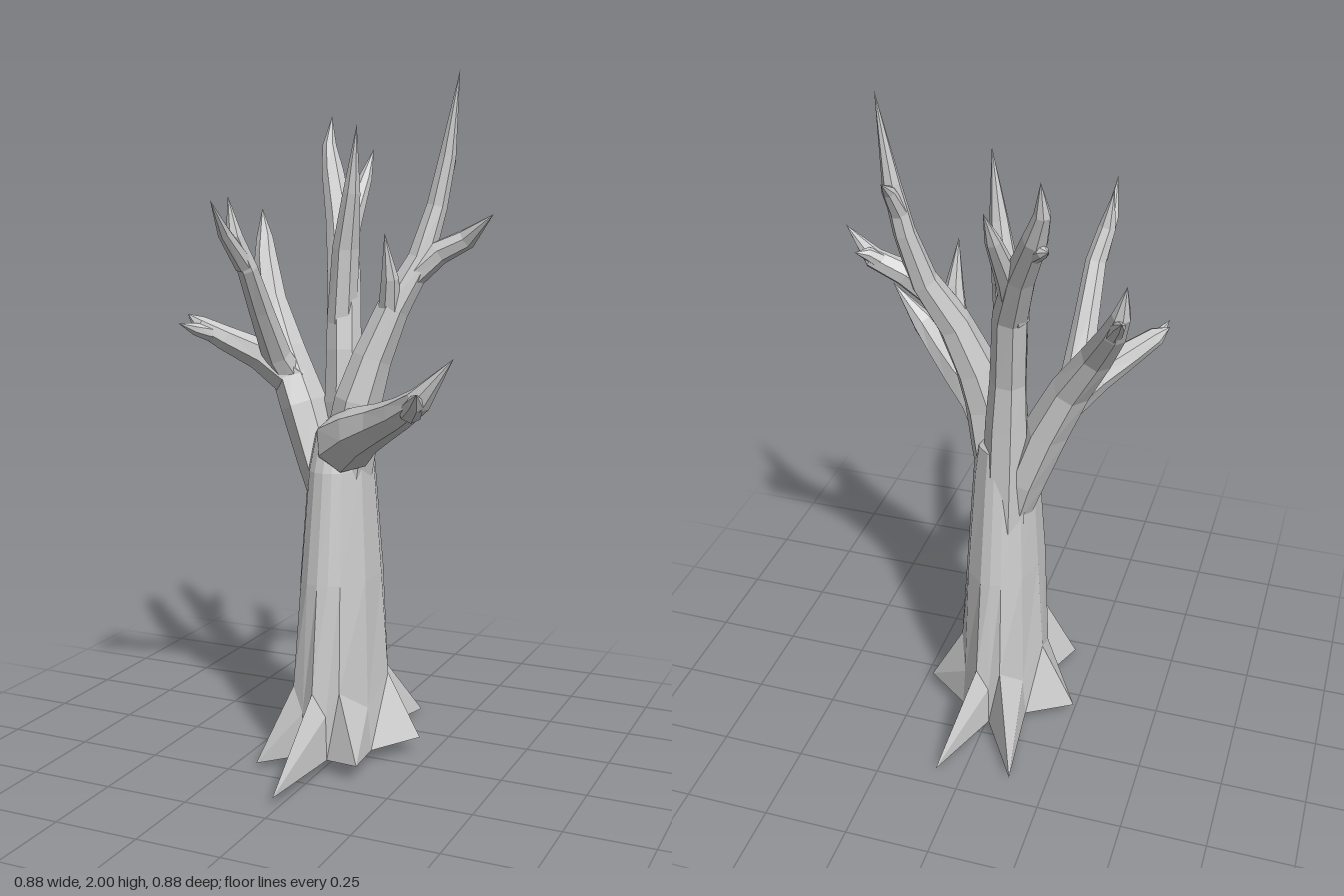
import * as THREE from 'three';

const material = new THREE.MeshStandardMaterial({ color: 0xcccccc, flatShading: true });

// Skin a stack of equal-length rings of points, skipping collapsed triangles
function skin(rings, name) {
  const pos = [];
  const tri = new THREE.Triangle();
  const add = (a, b, c) => {
    if (tri.set(a, b, c).getArea() > 1e-8) for (const p of [a, b, c]) pos.push(p.x, p.y, p.z);
  };
  for (let i = 0; i < rings.length - 1; i++) {
    const lo = rings[i], hi = rings[i + 1], n = lo.length;
    for (let j = 0; j < n; j++) {
      const k = (j + 1) % n;
      add(lo[j], lo[k], hi[k]);
      add(lo[j], hi[k], hi[j]);
    }
  }
  const geometry = new THREE.BufferGeometry();
  geometry.setAttribute('position', new THREE.Float32BufferAttribute(pos, 3));
  geometry.computeVertexNormals();
  const mesh = new THREE.Mesh(geometry, material);
  mesh.name = name;
  return mesh;
}

// Tapering faceted limb through points [x, y, z, radius, depth factor]; the tip has no radius
function limb(name, path) {
  const sides = 7;
  const pts = path.map(([x, y, z]) => new THREE.Vector3(x, y, z));
  const rings = pts.map((p, i) => {
    const t = pts[Math.min(i + 1, pts.length - 1)].clone().sub(pts[Math.max(i - 1, 0)]).normalize();
    const u = new THREE.Vector3(0, 0, 1);
    u.addScaledVector(t, -u.dot(t)).normalize();
    const v = t.clone().cross(u);
    const [r = 0, depth = 1] = path[i].slice(3);
    return Array.from({ length: sides }, (_, j) => {
      const a = (j / sides) * Math.PI * 2;
      return p.clone().addScaledVector(u, r * depth * Math.cos(a)).addScaledVector(v, r * Math.sin(a));
    });
  });
  rings.unshift(rings[0].map(() => pts[0]));
  return skin(rings, name);
}

// Trunk whose columns run down into pointed roots with valleys between them
function trunk() {
  const cx = -0.015, cz = -0.035;
  const tips = [
    [0.13, 0.05, 0.19], [0.215, 0.05, -0.09], [0.085, 0, -0.44], [-0.14, 0.01, -0.42],
    [-0.25, 0.03, -0.08], [-0.185, 0.01, 0.2], [-0.01, 0.03, 0.44],
  ].map((p) => new THREE.Vector3(...p));
  const angle = (p) => Math.atan2(-(p.z - cz), p.x - cx);
  tips.sort((a, b) => angle(a) - angle(b));

  const oval = (a, y, rx, rz, z = cz) =>
    new THREE.Vector3(cx + rx * Math.cos(a), y, z - rz * Math.sin(a));
  const angles = [], foot = [];
  tips.forEach((tip, i) => {
    const a = angle(tip);
    let b = angle(tips[(i + 1) % tips.length]);
    if (b < a) b += Math.PI * 2;
    const mid = (a + b) / 2;
    angles.push(a, mid);
    foot.push(tip, oval(mid, 0.04, 0.138, 0.205));
  });
  const ring = (y, rx, rz, z) => angles.map((a) => oval(a, y, rx, rz, z));
  // Root shoulders sit a little proud of the trunk
  const shoulder = angles.map((a, i) =>
    i % 2 ? oval(a, 0.17, 0.126, 0.205) : oval(a, 0.24, 0.132, 0.214));
  return skin([
    angles.map(() => new THREE.Vector3(cx, 0.05, cz)),
    foot,
    shoulder,
    ring(0.55, 0.112, 0.179),
    ring(0.87, 0.091, 0.137),
    ring(0.97, 0.075, 0.115, -0.045),
    angles.map(() => new THREE.Vector3(cx, 1.06, -0.06)),
  ], 'trunk');
}

export function createModel() {
  const model = new THREE.Group();
  model.name = 'bareTree';
  model.add(trunk());

  const limbs = {
    // Low front branch
    frontBranch: [[-0.01, 0.93, -0.02, 0.08], [0.03, 0.955, 0.045, 0.09], [0.1, 0.998, 0.1, 0.073],
      [0.18, 1.035, 0.15, 0.057], [0.26, 1.075, 0.21, 0.046], [0.34, 1.125, 0.265, 0.036],
      [0.44, 1.24, 0.28]],
    frontTwig: [[0.31, 1.09, 0.25, 0.033], [0.34, 1.12, 0.29, 0.024], [0.36, 1.15, 0.335]],
    // Rear leader and its forks, widening down the back of the trunk
    rearLeader: [[-0.03, 0.5, -0.12, 0.06], [-0.035, 0.85, -0.11, 0.066], [-0.04, 1.05, -0.11, 0.062],
      [-0.047, 1.2, -0.118, 0.053], [-0.065, 1.42, -0.16, 0.05], [-0.115, 1.58, -0.24, 0.043],
      [-0.175, 1.72, -0.32, 0.034], [-0.2, 1.8, -0.35, 0.022], [-0.2, 1.89, -0.37]],
    rearTwig: [[-0.15, 1.66, -0.29, 0.026], [-0.2, 1.7, -0.34, 0.017], [-0.22, 1.71, -0.36]],
    rearFork: [[-0.08, 1.42, -0.16, 0.04], [-0.08, 1.57, -0.24, 0.034], [-0.065, 1.7, -0.315, 0.021],
      [-0.055, 1.79, -0.36]],
    middleFork: [[-0.06, 1.28, -0.13, 0.044, 1.1], [-0.045, 1.5, -0.13, 0.039, 1.3],
      [-0.015, 1.66, -0.1, 0.026], [0.01, 1.85, -0.08]],
    // Tall branch on the left
    leftLeader: [[0.0, 0.78, -0.025, 0.065, 1.4], [0.015, 0.92, -0.025, 0.073, 1.4],
      [0.042, 1.07, -0.025, 0.066, 1.4], [0.075, 1.19, -0.045, 0.056, 1.35],
      [0.125, 1.33, -0.075, 0.047, 1.25], [0.19, 1.47, -0.125, 0.039, 1.1], [0.225, 1.62, -0.16, 0.031],
      [0.25, 1.76, -0.175, 0.025], [0.285, 2, -0.175]],
    leftFork: [[0.16, 1.41, -0.1, 0.038], [0.24, 1.49, -0.135, 0.036], [0.32, 1.53, -0.15, 0.03],
      [0.41, 1.6, -0.115]],
    leftForkTwig: [[0.28, 1.51, -0.14, 0.028], [0.33, 1.55, -0.17, 0.018], [0.355, 1.56, -0.195]],
    leftTopTwig: [[0.235, 1.68, -0.17, 0.026], [0.245, 1.75, -0.21, 0.018], [0.245, 1.79, -0.26]],
    leftInnerTwig: [[0.12, 1.29, -0.06, 0.036], [0.135, 1.42, -0.03, 0.026], [0.13, 1.55, 0]],
    // Spreading branch on the right
    rightBranch: [[-0.06, 0.74, -0.06, 0.045, 1.9], [-0.09, 0.87, -0.06, 0.062, 1.6],
      [-0.15, 1.04, -0.065, 0.066, 1.4], [-0.22, 1.19, -0.085, 0.058, 1.25], [-0.3, 1.33, -0.15, 0.047],
      [-0.36, 1.45, -0.23, 0.037], [-0.385, 1.52, -0.27, 0.026], [-0.4, 1.61, -0.285]],
    rightRearTwig: [[-0.35, 1.43, -0.22, 0.03], [-0.385, 1.5, -0.29, 0.017], [-0.4, 1.53, -0.335]],
    rightFrontFork: [[-0.18, 1.08, -0.08, 0.05], [-0.212, 1.19, -0.005, 0.044], [-0.215, 1.33, 0.085, 0.036],
      [-0.215, 1.45, 0.165, 0.03], [-0.235, 1.54, 0.205, 0.025], [-0.25, 1.65, 0.21]],
    rightFrontTwig: [[-0.22, 1.46, 0.175, 0.028], [-0.235, 1.55, 0.26, 0.019], [-0.23, 1.64, 0.345]],
    rightSideFork: [[-0.18, 1.11, -0.06, 0.06], [-0.27, 1.19, -0.005, 0.048], [-0.35, 1.24, 0.06, 0.037],
      [-0.41, 1.28, 0.1, 0.027], [-0.445, 1.31, 0.105]],
    rightSideTwig: [[-0.37, 1.25, 0.075, 0.028], [-0.41, 1.27, 0.13, 0.018], [-0.43, 1.29, 0.185]],
  };
  for (const [name, path] of Object.entries(limbs)) model.add(limb(name, path));
  return model;
}
